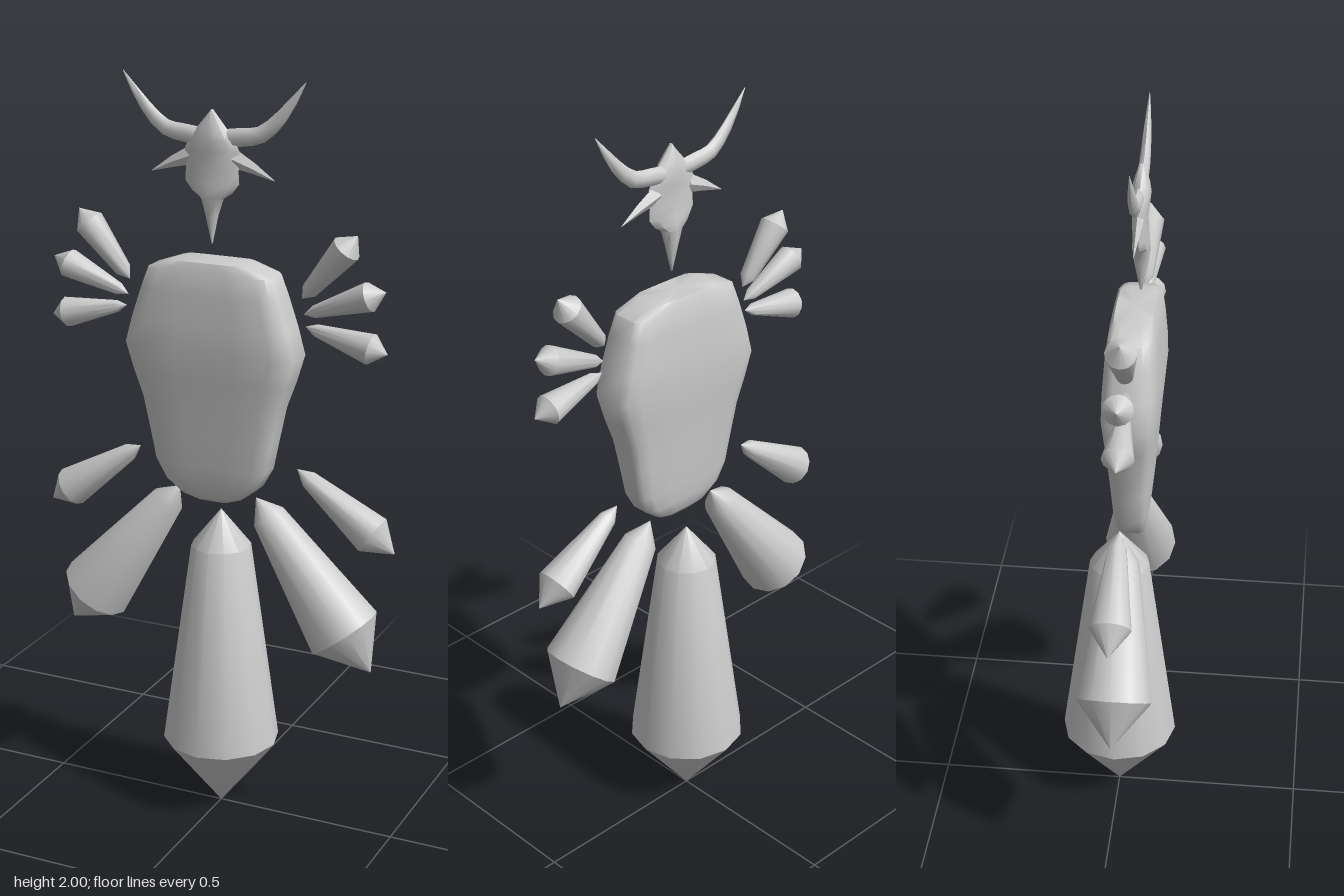
import * as THREE from 'three';
import { toCreasedNormals } from 'three/addons/utils/BufferGeometryUtils.js';

const material = new THREE.MeshStandardMaterial({ color: 0xcccccc });

function addMesh(parent, name, geometry, crease) {
  const mesh = new THREE.Mesh(toCreasedNormals(geometry, crease), material);
  mesh.name = name;
  parent.add(mesh);
  return mesh;
}

// Skin over a stack of equal-sized rings of Vector3, closed at both ends
function loft(rings) {
  const n = rings[0].length;
  const centre = (ring) => ring.reduce((s, p) => s.add(p), new THREE.Vector3()).divideScalar(n);
  const points = rings.flat();
  const index = [];
  for (let i = 0; i < rings.length - 1; i++) {
    for (let j = 0; j < n; j++) {
      const a = i * n + j, b = i * n + (j + 1) % n;
      index.push(a, a + n, b, b, a + n, b + n);
    }
  }
  const first = points.length, last = (rings.length - 1) * n;
  points.push(centre(rings[0]), centre(rings[rings.length - 1]));
  for (let j = 0; j < n; j++) {
    const k = (j + 1) % n;
    index.push(first, j, k, first + 1, last + k, last + j);
  }
  const geometry = new THREE.BufferGeometry().setFromPoints(points);
  geometry.setIndex(index);
  return geometry;
}

// Round cross-sections stacked along y: [y, half width, half depth]
function stack(rows, section, z) {
  return loft(rows.map(([y, w, d]) => section.map(([u, v]) => new THREE.Vector3(u * w, y, z + v * d))));
}

// Tapering tube through points in the xy plane
function taper(points, radii, z, sides, depth) {
  const curve = new THREE.CatmullRomCurve3(points.map(([x, y]) => new THREE.Vector3(x, y, z)));
  const front = new THREE.Vector3(0, 0, 1);
  return loft(radii.map((r, i) => {
    const t = i / (radii.length - 1);
    const centre = curve.getPoint(t);
    const across = curve.getTangent(t).cross(front).normalize();
    return Array.from({ length: sides }, (_, j) => {
      const a = (j / sides) * Math.PI * 2;
      return centre.clone().addScaledVector(across, r * Math.cos(a)).addScaledVector(front, r * depth * Math.sin(a));
    });
  }));
}

// Pointed crystal from its narrow inner end to its outer tip
function crystal(parent, name, from, to, z, shoulder, neck, rim, radius) {
  const start = new THREE.Vector3(from[0], from[1], z);
  const axis = new THREE.Vector3(to[0], to[1], z).sub(start);
  const length = axis.length();
  const profile = [[0, 0], [neck, shoulder], [radius, length - rim], [0, length]];
  const mesh = addMesh(parent, name, new THREE.LatheGeometry(profile.map((p) => new THREE.Vector2(...p)), 12), 0.7);
  mesh.position.copy(start);
  mesh.quaternion.setFromUnitVectors(new THREE.Vector3(0, 1, 0), axis.normalize());
}

export function createModel() {
  const model = new THREE.Group();
  model.name = 'crystalFigure';

  // Torso slab with bevelled rim
  const quarter = [[1, 0.55], [0.93, 0.82], [0.78, 0.97], [0.35, 1]];
  const half = [...quarter, ...quarter.map(([u, v]) => [-u, v]).reverse()];
  const slab = [...half, ...half.map(([u, v]) => [-u, -v])];
  addMesh(model, 'torso', stack([
    [0.9, 0.045, 0.02], [0.915, 0.085, 0.032], [0.95, 0.13, 0.04], [1.0, 0.157, 0.045],
    [1.08, 0.172, 0.051], [1.17, 0.19, 0.058], [1.24, 0.215, 0.064], [1.31, 0.235, 0.07],
    [1.38, 0.216, 0.069], [1.46, 0.19, 0.064], [1.515, 0.17, 0.058], [1.54, 0.1, 0.048],
  ], slab, 0.04), 0.9);

  // Hanging crystals below the torso
  crystal(model, 'tailCrystal', [0, 0.86], [0, 0], 0, 0.1, 0.08, 0.2, 0.157);
  for (const s of [-1, 1]) {
    const side = s > 0 ? 'left' : 'right';
    crystal(model, side + 'LegCrystal', [s * 0.11, 0.915], [s * 0.44, 0.48], 0.022, 0.06, 0.045, 0.125, 0.1);
    crystal(model, side + 'HipCrystal', [s * 0.225, 1.01], [s * 0.497, 0.82], 0.022, 0.04, 0.023, 0.075, 0.054);

    // Fan of three small crystals beside the shoulder
    const fan = new THREE.Group();
    fan.name = side + 'HandFan';
    model.add(fan);
    crystal(fan, 'upperFinger', [s * 0.24, 1.465], [s * 0.385, 1.638], 0.04, 0.03, 0.021, 0.045, 0.039);
    crystal(fan, 'middleFinger', [s * 0.245, 1.425], [s * 0.462, 1.505], 0.04, 0.03, 0.016, 0.045, 0.038);
    crystal(fan, 'lowerFinger', [s * 0.25, 1.395], [s * 0.47, 1.348], 0.04, 0.03, 0.016, 0.045, 0.04);
  }

  // Horned skull: long muzzle, cheeks and pointed crest
  const head = new THREE.Group();
  head.name = 'hornedSkull';
  model.add(head);
  const oval = Array.from({ length: 8 }, (_, j) => [Math.cos(j * Math.PI / 4), Math.sin(j * Math.PI / 4)]);
  addMesh(head, 'skull', stack([
    [1.585, 0.001, 0.003], [1.66, 0.018, 0.018], [1.7, 0.032, 0.023], [1.715, 0.055, 0.022],
    [1.74, 0.074, 0.019], [1.77, 0.072, 0.016], [1.82, 0.075, 0.02], [1.85, 0.06, 0.024],
    [1.875, 0.04, 0.02], [1.92, 0.001, 0.006],
  ], oval, 0.053), 0.9);
  for (const s of [-1, 1]) {
    const side = s > 0 ? 'left' : 'right';
    addMesh(head, side + 'Horn', taper(
      [[s * 0.03, 1.85], [s * 0.08, 1.856], [s * 0.13, 1.866], [s * 0.185, 1.915], [s * 0.247, 2.0]],
      [0.022, 0.023, 0.023, 0.022, 0.021, 0.019, 0.016, 0.01, 0.001], 0.048, 8, 0.65), 1);
    addMesh(head, side + 'Ear', taper(
      [[s * 0.05, 1.805], [s * 0.11, 1.782], [s * 0.168, 1.755]], [0.025, 0.014, 0.001], 0.05, 4, 0.6), 0.5);
  }
  return model;
}
